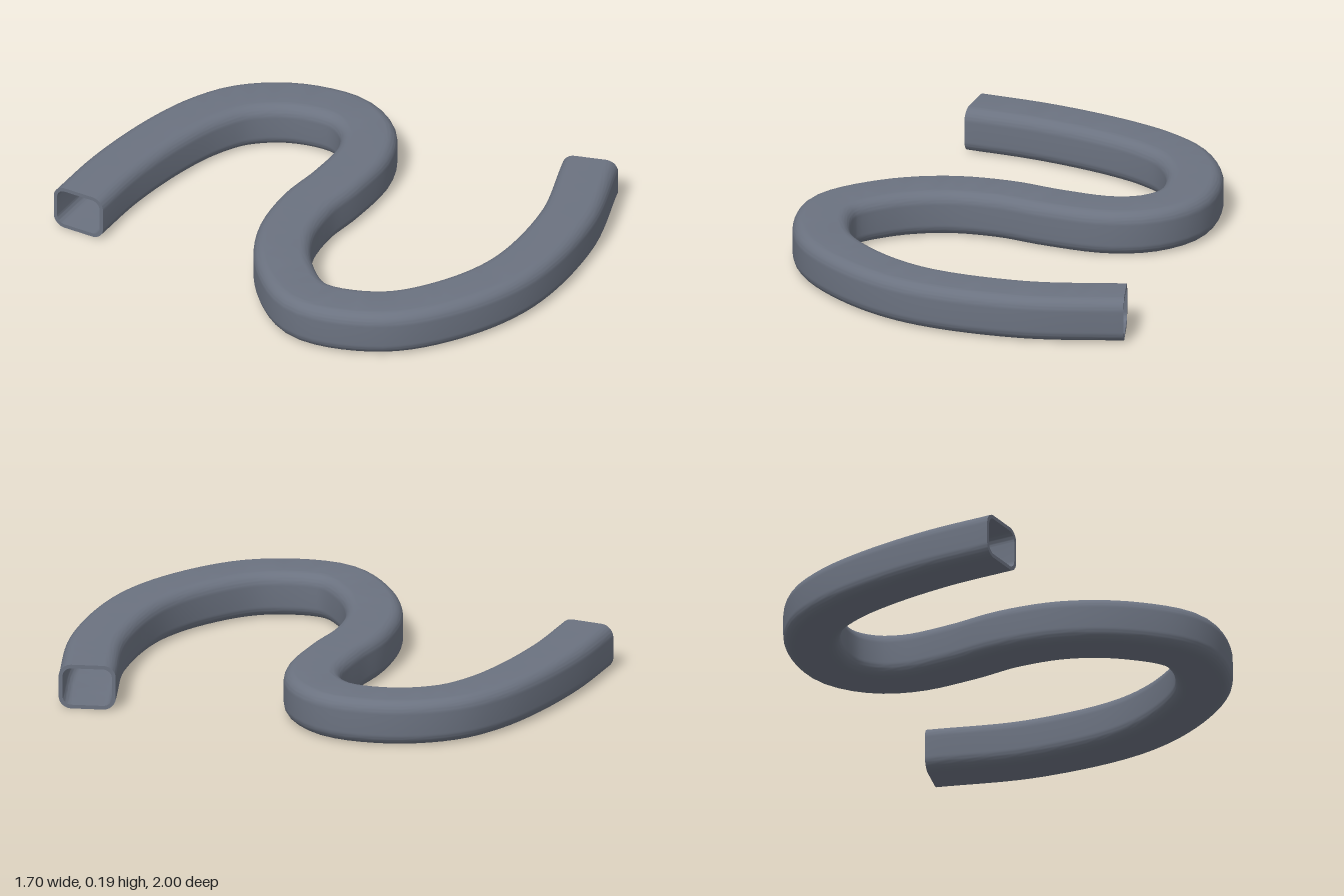
import * as THREE from 'three';
import { toCreasedNormals } from 'three/addons/utils/BufferGeometryUtils.js';

const HEIGHT = 0.19, WIDTH = 0.235, WALL = 0.016, RADIUS = 0.052;

// Rounded rectangle outline, drawn into a Shape or Path
function roundedRect(path, w, h, r) {
  const x = w / 2 - r, y = h / 2 - r;
  path.moveTo(x + r, -y);
  path.absarc(x, y, r, 0, Math.PI / 2);
  path.absarc(-x, y, r, Math.PI / 2, Math.PI);
  path.absarc(-x, -y, r, Math.PI, Math.PI * 1.5);
  path.absarc(x, -y, r, Math.PI * 1.5, Math.PI * 2);
  path.closePath();
  return path;
}

export function createModel() {
  const group = new THREE.Group();
  group.name = 'curvedTube';
  const slate = new THREE.MeshStandardMaterial({ color: 0x6b7280 });
  slate.name = 'slate grey';

  // Centre line of the S, as x and z
  const centreLine = new THREE.CatmullRomCurve3([
    [-0.82, -0.8], [-0.52, -0.86], [-0.2, -0.883], [0.02, -0.865], [0.19, -0.805],
    [0.345, -0.65], [0.417, -0.43], [0.362, -0.275], [0.235, -0.175], [0, -0.115],
    [-0.22, -0.085], [-0.45, 0.005], [-0.64, 0.18], [-0.742, 0.41], [-0.61, 0.68],
    [-0.375, 0.82], [-0.04, 0.88], [0.41, 0.777], [0.787, 0.57],
  ].map(([x, z]) => new THREE.Vector3(x, HEIGHT / 2, z)));

  // Hollow section: shape x runs up, shape y runs across the tube
  const section = roundedRect(new THREE.Shape(), HEIGHT, WIDTH, RADIUS);
  section.holes.push(
    roundedRect(new THREE.Path(), HEIGHT - 2 * WALL, WIDTH - 2 * WALL, RADIUS - WALL));

  const swept = new THREE.ExtrudeGeometry(section, {
    steps: 100, curveSegments: 6, bevelEnabled: false, extrudePath: centreLine,
  });
  const tube = new THREE.Mesh(toCreasedNormals(swept, 0.7), slate);
  tube.name = 'tube';
  group.add(tube);
  return group;
}
